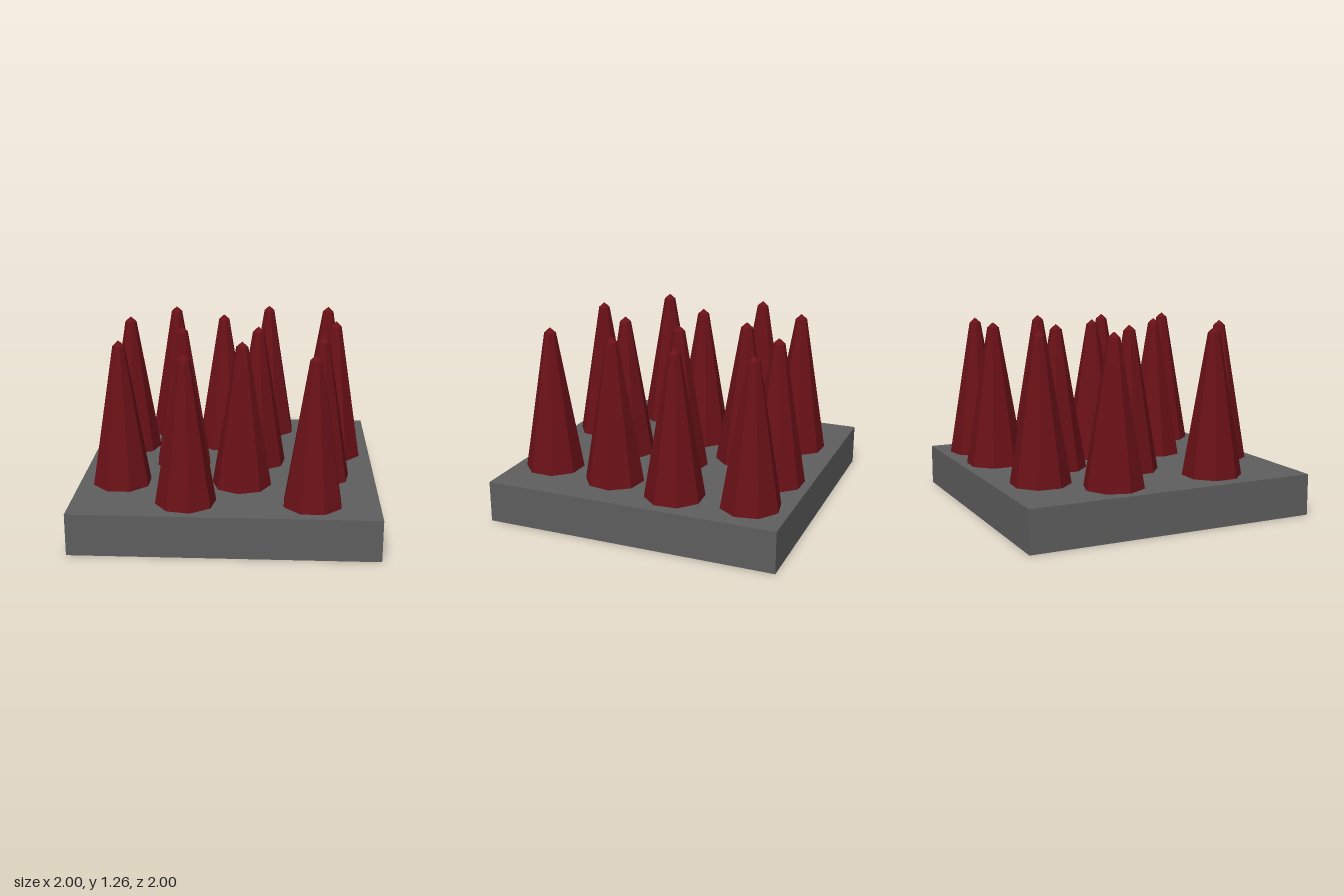
import * as THREE from 'three';

const BASE_HEIGHT = 0.28;

// x, z, turn in degrees for each spike
const SPIKES = [
  [-0.445, -0.70, 26.5], [0.255, -0.755, 24], [0.70, -0.735, 12],
  [-0.07, -0.425, 22.5], [-0.74, -0.32, -6], [0.735, -0.23, 18.5],
  [-0.335, -0.005, 16.5], [0.19, -0.035, -13], [0.63, 0.25, -13],
  [-0.715, 0.42, 23], [0.095, 0.41, 5], [-0.255, 0.75, -12],
  [0.565, 0.74, 24],
];

export function createModel() {
  const model = new THREE.Group();
  model.name = 'spikeTrap';

  // Square floor slab
  const base = new THREE.Mesh(
    new THREE.BoxGeometry(2, BASE_HEIGHT, 2),
    new THREE.MeshStandardMaterial({ color: 0x5e5e5e })
  );
  base.name = 'base';
  base.position.y = BASE_HEIGHT / 2;
  model.add(base);

  // Eight-sided tapered spike with a short blunt tip
  const profile = [[0.2, 0], [0.04, 0.95], [0, 0.985]].map(([r, y]) => new THREE.Vector2(r, y));
  const spikeGeometry = new THREE.LatheGeometry(profile, 8);
  const spikeMaterial = new THREE.MeshStandardMaterial({ color: 0x6a1117, flatShading: true });

  // Scattered spikes, each turned a little differently
  const spikes = new THREE.Group();
  spikes.name = 'spikes';
  SPIKES.forEach(([x, z, turn], i) => {
    const spike = new THREE.Mesh(spikeGeometry, spikeMaterial);
    spike.name = `spike${i + 1}`;
    spike.position.set(x, BASE_HEIGHT, z);
    spike.rotation.y = -THREE.MathUtils.degToRad(turn);
    spikes.add(spike);
  });
  model.add(spikes);

  return model;
}
